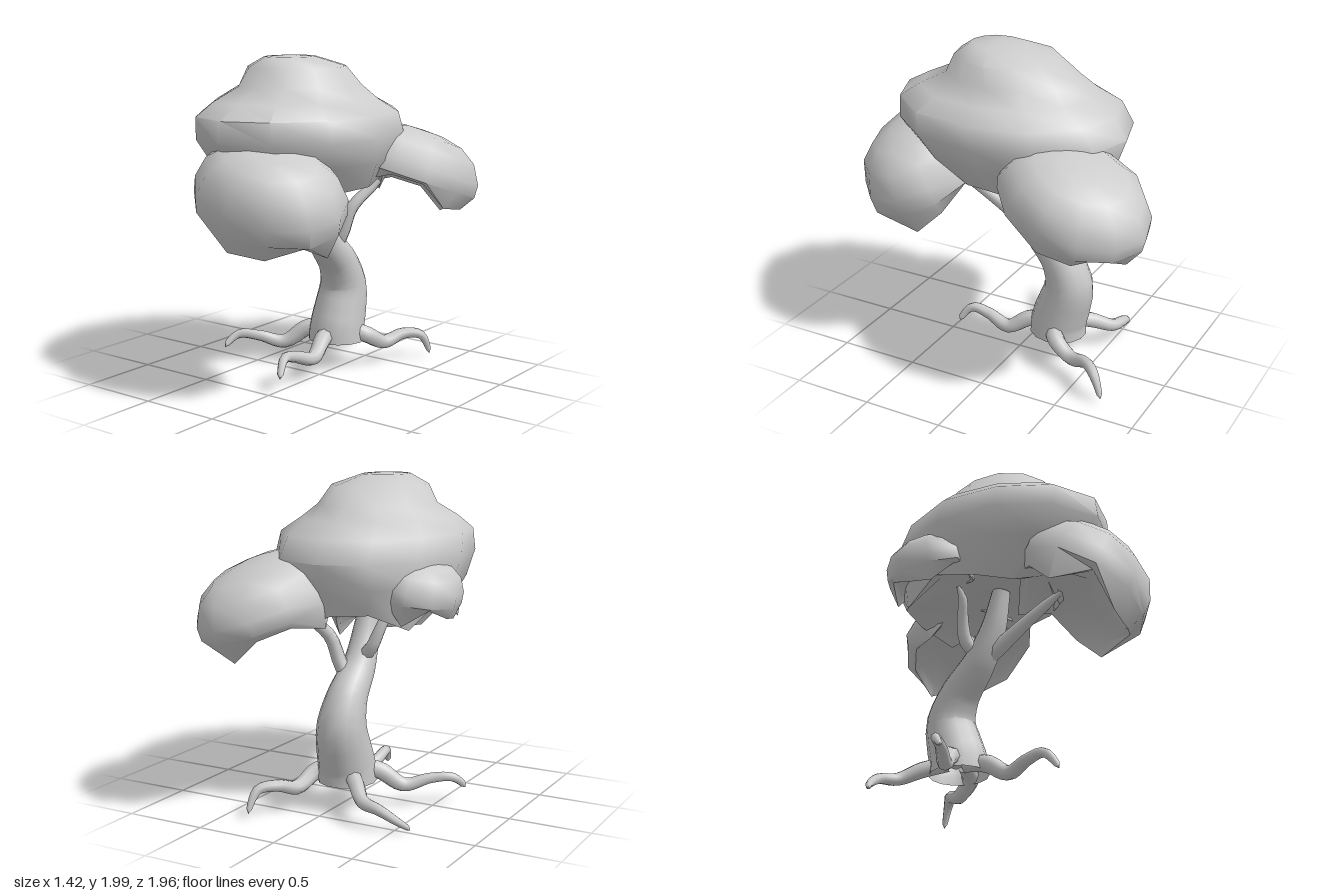
import * as THREE from 'three';
import { mergeVertices, toCreasedNormals } from 'three/addons/utils/BufferGeometryUtils.js';

const material = new THREE.MeshStandardMaterial({ color: 0xcccccc, side: THREE.DoubleSide });

function addMesh(parent, name, geometry) {
  const mesh = new THREE.Mesh(geometry, material);
  mesh.name = name;
  parent.add(mesh);
  return mesh;
}

// Tapered tube through points of [x, y, z, radius]
function limb(points, steps, sides) {
  const curve = new THREE.CatmullRomCurve3(points.map(([x, y, z]) => new THREE.Vector3(x, y, z)));
  const geometry = new THREE.TubeGeometry(curve, steps, 1, sides);
  const pos = geometry.attributes.position;
  const v = new THREE.Vector3();
  for (let i = 0; i <= steps; i++) {
    const u = i / steps;
    const center = curve.getPointAt(u);
    const t = curve.getUtoTmapping(u) * (points.length - 1);
    const k = Math.min(Math.floor(t), points.length - 2);
    const r = THREE.MathUtils.lerp(points[k][3], points[k + 1][3], t - k);
    for (let j = 0; j <= sides; j++) {
      const n = i * (sides + 1) + j;
      v.fromBufferAttribute(pos, n).sub(center).multiplyScalar(r).add(center);
      pos.setXYZ(n, v.x, v.y, v.z);
    }
  }
  return geometry;
}

// Leaf shell from rings of [y, centreX, centreZ, radiusX, radiusZ, jag], listed from the top
// over the outside, round the ragged rim and across the shallow underside
function leafShell(rings, sides, phase) {
  const positions = [];
  const index = [];
  rings.forEach(([y, cx, cz, rx, rz, jag = 0], i) => {
    for (let j = 0; j < sides; j++) {
      const a = (j / sides) * Math.PI * 2 + phase;
      const w = 1 + 0.015 * Math.sin(5 * a + i);
      const drop = jag * (0.6 * Math.sin(j * 2.4 + phase) + 0.4 * Math.sin(j * 4.1 + 1));
      positions.push(cx + rx * w * Math.cos(a), y + drop, cz + rz * w * Math.sin(a));
      if (i === rings.length - 1) continue;
      const p = i * sides + j;
      const q = i * sides + ((j + 1) % sides);
      index.push(p, q, p + sides, q, q + sides, p + sides);
    }
  });
  const geometry = new THREE.BufferGeometry();
  geometry.setAttribute('position', new THREE.Float32BufferAttribute(positions, 3));
  geometry.setIndex(index);
  return toCreasedNormals(mergeVertices(geometry), 1.0);
}

// Smaller leaf clump, a tilted dome: [height as share of up/down, radius share, jag share]
const domeProfile = [
  [1, 0], [0.98, 0.3], [0.86, 0.62], [0.58, 0.86], [0.12, 1],
  [-0.4, 1], [-1, 0.87, 0.6], [-0.7, 0.78, 0.3], [-0.4, 0.5], [-0.25, 0],
];
function clump(rx, rz, up, down, sides, phase) {
  const rings = domeProfile.map(([h, r, jag = 0]) =>
    [h > 0 ? h * up : h * down, 0, 0, r * rx, r * rz, jag * down]);
  return leafShell(rings, sides, phase);
}

export function createModel() {
  const tree = new THREE.Group();
  tree.name = 'tree';

  // Leaning trunk, open at the foot
  addMesh(tree, 'trunk', limb([
    [-0.05, 0.18, -0.25, 0.18], [-0.05, 0.25, -0.252, 0.177], [-0.05, 0.38, -0.29, 0.167],
    [-0.05, 0.52, -0.32, 0.152], [-0.05, 0.68, -0.26, 0.125], [-0.05, 0.86, -0.1, 0.1],
    [-0.04, 1.05, 0, 0.08], [-0.04, 1.3, 0.07, 0.055],
  ], 20, 14));

  // Branches reaching into the leaf clumps
  const branches = {
    frontBranch: [[-0.05, 0.84, -0.12, 0.05], [-0.03, 0.92, 0.02, 0.05], [0, 1.04, 0.2, 0.04],
      [0.04, 1.16, 0.38, 0.03], [0.08, 1.25, 0.5, 0]],
    backBranch: [[-0.05, 0.76, -0.2, 0.05], [0.02, 0.88, -0.21, 0.045], [0.07, 1.04, -0.24, 0.04],
      [0.15, 1.18, -0.37, 0.032], [0.22, 1.28, -0.45, 0]],
    sideBranch: [[-0.05, 0.9, -0.08, 0.045], [-0.14, 0.97, -0.12, 0.042], [-0.19, 1.08, -0.11, 0.036],
      [-0.24, 1.22, -0.07, 0.028], [-0.3, 1.33, -0.08, 0]],
  };
  for (const name in branches) addMesh(tree, name, limb(branches[name], 12, 8));

  // Wavy roots
  const roots = {
    frontRoot: [[-0.05, 0.24, -0.2, 0.05], [-0.02, 0.22, -0.06, 0.055], [0.01, 0.14, 0.08, 0.045],
      [-0.01, 0.18, 0.23, 0.036], [0.0, 0.2, 0.35, 0.03], [0.03, 0.1, 0.43, 0.016]],
    backLeftRoot: [[0.02, 0.26, -0.26, 0.05], [0.13, 0.22, -0.32, 0.055], [0.18, 0.15, -0.45, 0.045],
      [0.24, 0.185, -0.58, 0.036], [0.32, 0.17, -0.67, 0.03], [0.35, 0.04, -0.73, 0.012]],
    backRightRoot: [[-0.1, 0.25, -0.3, 0.05], [-0.2, 0.21, -0.41, 0.05], [-0.3, 0.15, -0.51, 0.04],
      [-0.42, 0.13, -0.54, 0.032], [-0.52, 0.07, -0.51, 0.024], [-0.58, 0.015, -0.46, 0.012]],
    rightRoot: [[-0.1, 0.25, -0.23, 0.05], [-0.22, 0.24, -0.17, 0.055], [-0.35, 0.145, -0.09, 0.045],
      [-0.48, 0.18, 0.0, 0.034], [-0.6, 0.185, 0.07, 0.028], [-0.65, 0.11, 0.15, 0.016]],
  };
  for (const name in roots) {
    const points = roots[name];
    const [x, y, z] = points[points.length - 1];
    points.push([x, y - 0.004, z, 0]);
    addMesh(tree, name, limb(points, 24, 8));
  }

  // Main canopy with a raised crown
  addMesh(tree, 'mainCanopy', leafShell([
    [2.0, -0.08, 0.18, 0, 0],
    [1.99, -0.08, 0.18, 0.14, 0.17],
    [1.93, -0.07, 0.12, 0.285, 0.32],
    [1.82, -0.08, 0.08, 0.34, 0.42],
    [1.74, -0.08, 0.12, 0.45, 0.55],
    [1.66, -0.07, 0.11, 0.545, 0.7],
    [1.53, -0.07, 0.075, 0.56, 0.745],
    [1.38, -0.08, 0.04, 0.52, 0.65],
    [1.2, -0.1, -0.04, 0.43, 0.5, 0.07],
    [1.24, -0.09, -0.03, 0.38, 0.44, 0.03],
    [1.29, -0.08, 0, 0.2, 0.25],
    [1.3, -0.08, 0, 0, 0],
  ], 12, 0));

  // Side clumps: size, place and tilt
  const clumps = [
    ['frontClump', [0.47, 0.38, 0.3, 0.17, 11, 0.5], [0.095, 1.22, 0.595], [0.28, 0, -0.28]],
    ['backClump', [0.39, 0.48, 0.25, 0.13, 12, 0.9], [0.32, 1.28, -0.52], [-0.33, -0.25, -0.2]],
    ['rightClump', [0.24, 0.31, 0.18, 0.11, 10, 0.1], [-0.465, 1.35, -0.12], [0, 0, 0.2]],
  ];
  for (const [name, size, place, tilt] of clumps) {
    const mesh = addMesh(tree, name, clump(...size));
    mesh.position.set(...place);
    mesh.rotation.set(...tilt);
  }

  return tree;
}
